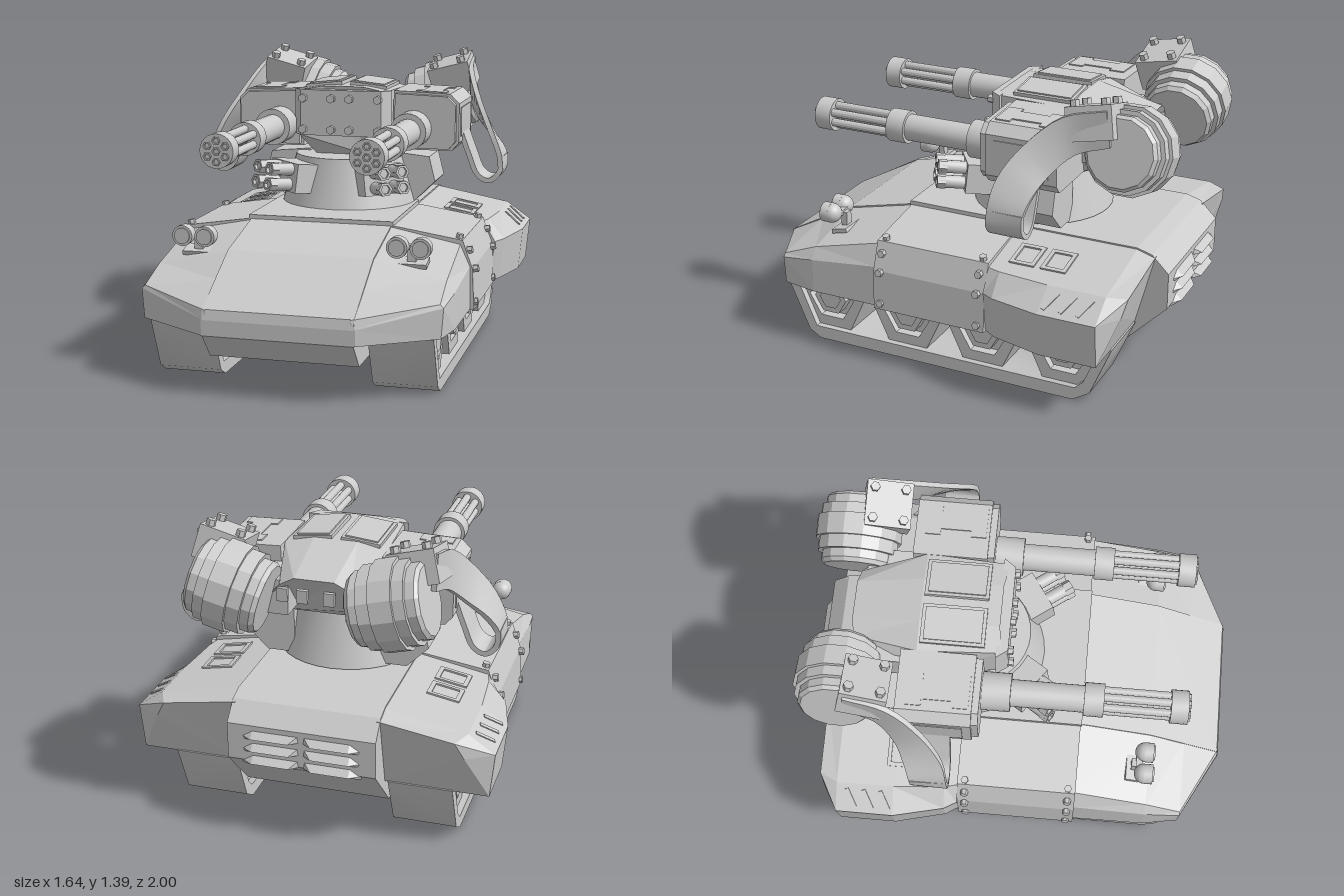
import * as THREE from 'three';
import { toCreasedNormals } from 'three/addons/utils/BufferGeometryUtils.js';

const V = (x, y, z) => new THREE.Vector3(x, y, z);
const flat = g => (g.index ? g.toNonIndexed() : g);

// reverses every triangle of a non-indexed geometry
function flip(g) {
  const p = g.attributes.position, a = V(), b = V();
  for (let i = 0; i < p.count; i += 3) {
    a.fromBufferAttribute(p, i + 1); b.fromBufferAttribute(p, i + 2);
    p.setXYZ(i + 1, b.x, b.y, b.z); p.setXYZ(i + 2, a.x, a.y, a.z);
  }
  return g;
}

// skin through equal-length closed sections of [x, y, z], capped, facing outwards
function loft(sections) {
  const out = [], n = sections[0].length;
  const tri = (a, b, c) => out.push(...a, ...b, ...c);
  for (let s = 0; s < sections.length - 1; s++) for (let i = 0; i < n; i++) {
    const A = sections[s], B = sections[s + 1], j = (i + 1) % n;
    tri(A[i], A[j], B[j]); tri(A[i], B[j], B[i]);
  }
  const first = sections[0], last = sections[sections.length - 1];
  for (let i = 1; i < n - 1; i++) { tri(first[0], first[i + 1], first[i]); tri(last[0], last[i], last[i + 1]); }
  const g = new THREE.BufferGeometry();
  g.setAttribute('position', new THREE.Float32BufferAttribute(out, 3));
  let vol = 0;
  for (let i = 0; i < out.length; i += 9)
    vol += V(...out.slice(i, i + 3)).dot(V(...out.slice(i + 3, i + 6)).cross(V(...out.slice(i + 6, i + 9))));
  return vol < 0 ? flip(g) : g;
}

const box = (w, h, d, x = 0, y = 0, z = 0) => new THREE.BoxGeometry(w, h, d).translate(x, y, z);
const rod = (r, z0, z1, x, y, n = 24) =>
  new THREE.CylinderGeometry(r, r, z1 - z0, n).rotateX(Math.PI / 2).translate(x, y, (z0 + z1) / 2);
const shapeOf = (pts, holes = []) => {
  const s = new THREE.Shape(pts.map(p => new THREE.Vector2(...p)));
  holes.forEach(h => s.holes.push(new THREE.Path(h.map(p => new THREE.Vector2(...p)))));
  return s;
};
const extrude = (s, depth) => new THREE.ExtrudeGeometry(s, { depth, bevelEnabled: false });
// side profile of [z, y] points extruded from x0 to x1
const slab = (pts, x0, x1, holes = []) => {
  const f = a => a.map(([z, y]) => [-z, y]);
  return extrude(shapeOf(f(pts), holes.map(f)), x1 - x0).rotateY(Math.PI / 2).translate(x0, 0, 0);
};
const hex = (z, y, r) => [0, 1, 2, 3, 4, 5].map(i => [z + r * Math.cos(i * Math.PI / 3), y + r * Math.sin(i * Math.PI / 3)]);
const bolt = (x, y, z, dir, r = 0.018) => new THREE.CylinderGeometry(r, r, 0.035, 6)
  .applyQuaternion(new THREE.Quaternion().setFromUnitVectors(V(0, 1, 0), V(...dir).normalize())).translate(x, y, z);

export function createModel() {
  const model = new THREE.Group();
  const mat = new THREE.MeshStandardMaterial({ color: 0xcccccc });
  const FACETED = 0.02, ROUND = 0.42, SMOOTH = 1.1; // crease angles
  const one = (name, geo, crease = ROUND) => {
    const m = new THREE.Mesh(toCreasedNormals(flat(geo), crease), mat);
    m.name = name; model.add(m);
  };
  // a part on the left and its mirror on the right
  const pair = (name, geo, crease) => {
    const g = flat(geo);
    one(name + 'Left', g.clone(), crease);
    one(name + 'Right', flip(g.clone().scale(-1, 1, 1)), crease);
  };

  // Hull
  one('hull', slab([[0.9, 0.155], [1, 0.27], [1, 0.34], [0.99, 0.385], [0.65, 0.57], [0.31, 0.65], [-0.82, 0.65],
    [-0.89, 0.63], [-0.97, 0.55], [-0.97, 0.38], [-0.75, 0.155]], -0.335, 0.335), FACETED);
  one('turretPlate', box(0.69, 0.025, 0.57, 0, 0.656, 0.03));
  const sec = (z, pts) => pts.map(([x, y, dz = 0]) => [x, y, z + dz]);
  pair('frontFender', loft([
    sec(0.31, [[0.32, 0.285], [0.705, 0.285], [0.7, 0.48], [0.655, 0.58], [0.32, 0.646]]),
    sec(0.65, [[0.32, 0.28], [0.7, 0.28], [0.695, 0.44], [0.66, 0.495], [0.32, 0.566]]),
    sec(0.82, [[0.32, 0.275], [0.67, 0.28], [0.68, 0.415], [0.665, 0.43], [0.32, 0.474]]),
    sec(0.995, [[0.32, 0.27], [0.34, 0.27], [0.34, 0.34], [0.338, 0.345], [0.32, 0.382]])]), FACETED);
  const mid = [[0.32, 0.28], [0.722, 0.28], [0.712, 0.47], [0.665, 0.6], [0.32, 0.653]];
  pair('sidePlate', loft([sec(0.31, mid), sec(-0.25, mid)]), FACETED);
  const wide = [[0.32, 0.285], [0.8, 0.285], [0.82, 0.49], [0.7, 0.575], [0.32, 0.646]];
  pair('rearFender', loft([
    sec(-0.25, [[0.32, 0.285], [0.7, 0.285], [0.725, 0.48], [0.665, 0.58], [0.32, 0.646]]),
    sec(-0.31, [[0.32, 0.285], [0.74, 0.285], [0.762, 0.485], [0.68, 0.578], [0.32, 0.646]]),
    sec(-0.55, wide), sec(-0.82, wide),
    sec(-0.905, [[0.32, 0.285, 0.085], [0.66, 0.285, 0.085], [0.7, 0.49, 0.015], [0.66, 0.565], [0.32, 0.62]])]), FACETED);
  for (const z of [-0.59, -0.67, -0.75])
    pair('ventSlot', box(0.1, 0.008, 0.018).rotateY(-0.45).rotateZ(-0.61).translate(0.76, 0.533, z));
  const rect = (w, h) => [[-w, -h], [w, -h], [w, h], [-w, h]];
  for (const z of [-0.38, -0.53])
    pair('deckHatchFrame', extrude(shapeOf(rect(0.075, 0.06), [rect(0.055, 0.042)]), 0.012)
      .rotateX(-Math.PI / 2).rotateZ(-0.186).translate(0.53, 0.602, z));
  for (const z of [0.275, -0.215]) {
    for (const y of [0.55, 0.465, 0.31]) pair('plateBolt', bolt(y > 0.5 ? 0.688 : 0.717, y, z, [1, 0.15, 0]));
    pair('plateTopBolt', bolt(0.645, 0.605, z, [0.2, 1, 0]));
  }
  // Rear louvers with pointed ends
  for (const y of [0.39, 0.45, 0.51])
    pair('rearLouver', loft([[0.005, -0.965], [0.05, -1], [0.22, -1], [0.27, -0.965]]
      .map(([x, z]) => [[x, y - 0.03, -0.96], [x, y + 0.025, -0.96], [x, y - 0.012, z]])), FACETED);

  // Tracks and wheels
  pair('trackBelt', slab(
    [[0.83, 0.29], [0.72, 0.035], [0.66, 0], [-0.65, 0], [-0.73, 0.05], [-0.83, 0.29]], 0.35, 0.64,
    [[[0.77, 0.275], [0.68, 0.062], [-0.66, 0.062], [-0.7, 0.1], [-0.77, 0.275]]]), SMOOTH);
  for (const z of [0.61, 0.2, -0.19, -0.59]) {
    const bracket = [[z + 0.222, 0.322], [z + 0.1, 0.06], [z - 0.1, 0.06], [z - 0.222, 0.322]];
    pair('wheelBracket', slab(bracket, 0.38, 0.61, [hex(z, 0.215, 0.12)]));
    pair('wheelPlate', slab(hex(z, 0.215, 0.121), 0.43, 0.56));
    pair('wheelHub', slab(hex(z, 0.215, 0.085), 0.4, 0.62, [hex(z, 0.215, 0.055)]));
  }

  // Headlights
  for (const x of [0.44, 0.545]) {
    pair('headlight', new THREE.SphereGeometry(0.047, 20, 10, 0, Math.PI * 2, 0, Math.PI / 2)
      .rotateX(-Math.PI / 2).translate(x, 0.627, 0.625));
    pair('headlightRim', rod(0.047, 0.625, 0.665, x, 0.627));
    pair('headlightLens', rod(0.036, 0.66, 0.672, x, 0.627));
  }
  pair('headlightBar', box(0.12, 0.022, 0.03, 0.4925, 0.622, 0.6));
  pair('headlightPost', box(0.04, 0.1, 0.03, 0.4925, 0.575, 0.58));
  pair('headlightFoot', box(0.14, 0.02, 0.08).rotateX(0.24).translate(0.4925, 0.548, 0.58));

  // Turret pedestal
  one('pedestal', new THREE.CylinderGeometry(0.26, 0.33, 0.24, 32).translate(0, 0.78, -0.22));
  pair('pedestalWing', extrude(shapeOf([[0.2, 0.67], [0.33, 0.67], [0.43, 0.77], [0.4, 0.89], [0.2, 0.91]]), 0.23).translate(0, 0, -0.45));

  // Turret body
  const sym = pts => [...pts, ...pts.slice().reverse().map(([x, y, z]) => [-x, y, z])];
  one('turretBody', loft([
    sym([[0.14, 0.89, -0.15], [0.215, 1, -0.07], [0.215, 1.215, -0.07], [0.1, 1.235, -0.09]]),
    sym([[0.24, 0.89, -0.45], [0.27, 1, -0.45], [0.235, 1.21, -0.45], [0.1, 1.24, -0.45]]),
    sym([[0.2, 0.93, -0.55], [0.25, 1.03, -0.71], [0.16, 1.13, -0.75], [0.09, 1.17, -0.76]])]), FACETED);
  const plate = [[-0.24, -0.1], [0.24, -0.1], [0.2, -0.045], [-0.2, -0.045]];
  one('frontPlate', extrude(shapeOf(plate.map(([x, z]) => [x, -z])), 0.22).rotateX(-Math.PI / 2).translate(0, 1, 0));
  for (const x of [0.045, 0.185]) for (const y of [1.03, 1.18]) pair('frontPlateBolt', bolt(x, y, -0.04, [0, 0, 1], 0.021));
  pair('roofHatch', box(0.18, 0.025, 0.29).rotateZ(-0.11).translate(0.11, 1.232, -0.295));
  pair('roofHatchPanel', box(0.15, 0.03, 0.26).rotateZ(-0.11).translate(0.11, 1.236, -0.295));
  for (const x of [0.06, 0.15]) pair('rearWindow', box(0.05, 0.06, 0.02, x, 1.08, -0.735));

  // Gun pods
  const podShape = s => shapeOf([[-0.165, -0.14], [0.13, -0.14], [0.165, -0.1], [0.165, 0.09], [0.12, 0.135], [-0.155, 0.145]].map(p => [p[0] * s, p[1] * s]));
  pair('gunPod', extrude(podShape(1), 0.34).translate(0.387, 1.068, -0.52));
  pair('gunPodFace', extrude(podShape(0.92), 0.03).translate(0.387, 1.068, -0.18));
  const quarter = [[0.075, -0.14], [0.075, -0.07], [0.045, -0.07], [0.045, 0.07], [0.075, 0.07], [0.075, 0.14]];
  pair('gunPodTopPanel', extrude(shapeOf([...quarter, ...quarter.map(([x, y]) => [-x, -y])]), 0.012)
    .rotateX(-Math.PI / 2).rotateZ(-0.036).translate(0.41, 1.2, -0.335));
  pair('gunPodSidePanel', box(0.015, 0.14, 0.26, 0.549, 1.065, -0.35));

  // Rotary guns
  const gx = 0.335, gy = 1.035;
  pair('gunSleeve', rod(0.088, -0.16, -0.02, gx, gy));
  pair('gunBarrel', rod(0.062, -0.02, 0.32, gx, gy));
  pair('gunCollar', rod(0.077, 0.31, 0.4, gx, gy));
  pair('muzzleCollar', rod(0.077, 0.7, 0.78, gx, gy));
  for (let i = 0; i < 7; i++) {
    const a = i * Math.PI / 3 + Math.PI / 6, r = i < 6 ? 0.047 : 0;
    const x = gx + r * Math.cos(a), y = gy + r * Math.sin(a);
    pair('rotaryTube', rod(0.019, 0.39, 0.71, x, y, 12));
    pair('muzzle', extrude(shapeOf(hex(0, 0, 0.019), [hex(0, 0, 0.012)]), 0.015).translate(x, y, 0.775));
  }

  // Grenade launchers
  const aim = g => g.rotateZ(0.05).rotateX(-0.12).rotateY(0.6).translate(0.205, 0.81, 0.02);
  pair('launcherBox', aim(box(0.2, 0.14, 0.15)));
  for (const x of [-0.045, 0.045]) for (const y of [-0.035, 0.038]) {
    pair('launcherTube', aim(rod(0.03, 0.06, 0.19, x, y, 16)));
    pair('launcherMuzzle', aim(extrude(shapeOf(hex(0, 0, 0.034), [hex(0, 0, 0.022)]), 0.04).translate(x, y, 0.165)));
  }

  // Ammunition drums
  const drum = new THREE.LatheGeometry([[0, -0.16], [0.15, -0.16], [0.165, -0.14], [0.165, -0.1], [0.185, -0.1], [0.185, -0.04],
    [0.2, -0.04], [0.2, 0.06], [0.185, 0.06], [0.185, 0.11], [0.165, 0.11], [0.165, 0.15], [0.15, 0.165], [0, 0.165]]
    .map(p => new THREE.Vector2(...p)), 14);
  pair('ammoDrum', drum.rotateZ(-Math.PI / 2 + 0.25).translate(0.355, 1.115, -0.79), FACETED);
  pair('drumMount', box(0.14, 0.16, 0.25, 0.2, 1.06, -0.6));

  // Feed boxes with their bolts
  const tilt = g => g.rotateX(0.2).rotateZ(0.26).translate(0.435, 1.25, -0.655);
  pair('feedBox', tilt(box(0.21, 0.15, 0.21)));
  for (const x of [-0.07, 0.07]) for (const z of [-0.07, 0.07]) pair('feedBoxBolt', tilt(bolt(x, 0.085, z, [0, 1, 0], 0.022)));

  // Feed belts: centre line x, y, z and half width in y and z
  const path = [[0.52, 1.26, -0.74, 0.08, 0.01], [0.545, 1.21, -0.57, 0.08, 0.03], [0.61, 1.1, -0.45, 0.06, 0.06],
    [0.685, 0.99, -0.385, 0.025, 0.085], [0.735, 0.89, -0.365, 0, 0.085], [0.735, 0.82, -0.36, 0, 0.085], [0.685, 0.775, -0.36, 0, 0.085],
    [0.63, 0.8, -0.36, 0, 0.085], [0.585, 0.9, -0.36, 0, 0.085], [0.54, 1.02, -0.36, 0, 0.085]];
  const line = new THREE.CatmullRomCurve3(path.map(p => V(p[0], p[1], p[2])));
  const width = new THREE.CatmullRomCurve3(path.map(p => V(0, p[3], p[4])));
  const belt = [];
  for (let i = 0; i <= 36; i++) {
    const c = line.getPoint(i / 36), w = width.getPoint(i / 36);
    const n = line.getTangent(i / 36).cross(w).normalize().multiplyScalar(0.012);
    belt.push([[1, 1], [1, -1], [-1, -1], [-1, 1]].map(([a, b]) => c.clone().addScaledVector(w, a).addScaledVector(n, b).toArray()));
  }
  pair('feedBelt', loft(belt));
  return model;
}
